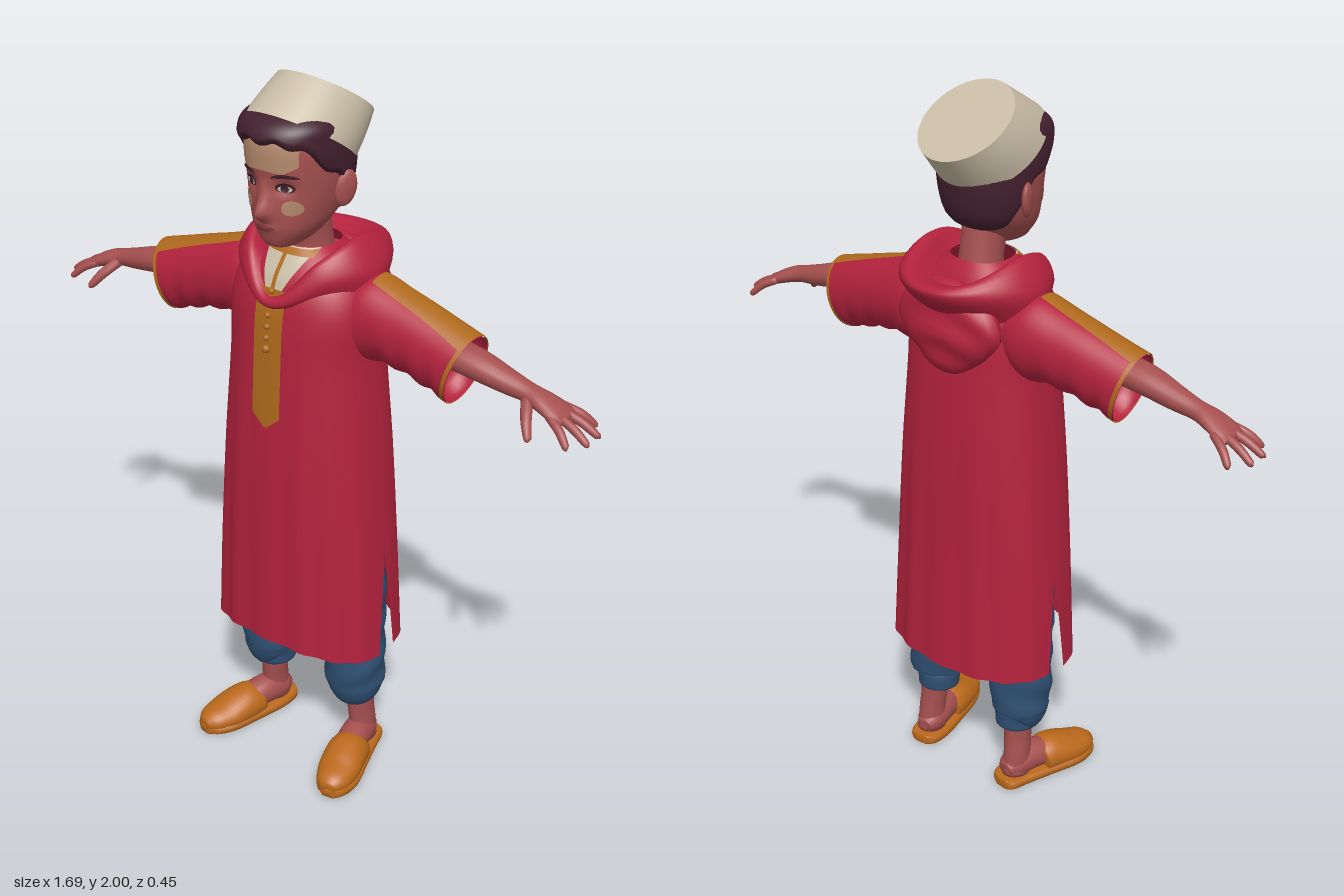
import * as THREE from 'three';
import { mergeVertices } from 'three/addons/utils/BufferGeometryUtils.js';

const { lerp, clamp } = THREE.MathUtils;
const PI = Math.PI;
const paint = (name, color) => new THREE.MeshStandardMaterial({ name, color, side: THREE.DoubleSide });
const M = {
  red: paint('red cloth', 0xb3223d), trim: paint('ochre trim', 0xae691c), shoe: paint('orange leather', 0xbb691b),
  blue: paint('blue cloth', 0x2f5073), skin: paint('skin', 0xa5504f), hair: paint('dark hair', 0x43202f),
  cream: paint('cream cloth', 0xc8bca5), tan: paint('light skin', 0xb48a6c), lip: paint('lip', 0x82363c),
};

// Smooth interpolation through rows keyed by their first number
function at(rows, p) {
  const n = rows.length;
  p = clamp(p, rows[0][0], rows[n - 1][0]);
  let i = 0;
  while (i < n - 2 && p > rows[i + 1][0]) i++;
  const a = rows[i], b = rows[i + 1], o = rows[Math.max(i - 1, 0)], c = rows[Math.min(i + 2, n - 1)];
  const h = b[0] - a[0], t = (p - a[0]) / h, t2 = t * t, t3 = t2 * t;
  return a.slice(1).map((v, j) => {
    const k = j + 1, m0 = (b[k] - o[k]) / (b[0] - o[0]) * h, m1 = (c[k] - a[k]) / (c[0] - a[0]) * h;
    return (2 * t3 - 3 * t2 + 1) * v + (t3 - 2 * t2 + t) * m0 + (3 * t2 - 2 * t3) * b[k] + (t3 - t2) * m1;
  });
}

function mesh(name, geo, mat, parent) {
  const m = new THREE.Mesh(geo, mat);
  m.name = name;
  parent.add(m);
  return m;
}

// Surface from a rule (u, v) -> [x, y, z]
function grid(name, fn, nu, nv, mat, parent) {
  const pos = [], idx = [], w = nu + 1;
  for (let j = 0; j <= nv; j++) for (let i = 0; i <= nu; i++) pos.push(...fn(i / nu, j / nv));
  for (let j = 0; j < nv; j++) for (let i = 0; i < nu; i++) {
    const a = j * w + i;
    idx.push(a, a + 1, a + w + 1, a, a + w + 1, a + w);
  }
  let g = new THREE.BufferGeometry();
  g.setAttribute('position', new THREE.Float32BufferAttribute(pos, 3));
  g.setIndex(idx);
  g = mergeVertices(g, 1e-5);
  g.computeVertexNormals();
  return mesh(name, g, mat, parent);
}

// Tube rule from rows [x, y, z, radiusU, radiusV]
function tube(rows, hint = [0, 0, 1]) {
  const keyed = rows.map((r, i) => [i, ...r]), last = rows.length - 1;
  return (a, t, off = 0, shrink = 1) => {
    const s = at(keyed, t * last), p = at(keyed, t * last - 0.02), q = at(keyed, t * last + 0.02);
    const T = new THREE.Vector3(q[0] - p[0], q[1] - p[1], q[2] - p[2]).normalize();
    const V = new THREE.Vector3(...hint);
    V.addScaledVector(T, -V.dot(T)).normalize();
    const U = V.clone().cross(T);
    return new THREE.Vector3(s[0], s[1], s[2]).addScaledVector(U, Math.cos(a) * (s[3] + off) * shrink)
      .addScaledVector(V, Math.sin(a) * (s[4] + off) * shrink).toArray();
  };
}
// Closed limb with optional vertex rule
function limb(name, rows, mat, parent, { hint, mod = p => p, nu = 20, nv = 24 } = {}) {
  const f = tube(rows, hint);
  return grid(name, (u, v) => {
    const t = clamp((v * nv - 1) / (nv - 2), 0, 1);
    return mod(f((u % 1) * 2 * PI, t, 0, v === 0 || v === 1 ? 0.001 : 1), t);
  }, nu, nv, mat, parent);
}
// Thin painted plate lying on a front surface
function plate(name, surf, cx, y0, y1, width, off, mat, parent, bend = 0) {
  return grid(name, (u, v) => {
    const d = (2 * u - 1) * width(v);
    return surf(cx + d, lerp(y0, y1, v) - bend * d * d, off);
  }, 12, 12, mat, parent);
}
const round = r => v => r * Math.sqrt(Math.max(0, 1 - (2 * v - 1) ** 2));
const pw = (x, e) => Math.sign(x) * Math.abs(x) ** e;

// Robe: rows [y, half width, front z, back z]
const ROBE = [[0.4, 0.27, 0.207, -0.19], [0.7, 0.254, 0.2, -0.175], [1, 0.234, 0.19, -0.163], [1.28, 0.21, 0.175, -0.145],
  [1.42, 0.208, 0.162, -0.13], [1.5, 0.175, 0.135, -0.115], [1.54, 0.125, 0.105, -0.095], [1.57, 0.08, 0.08, -0.07]];
function robe(a, y) {
  const [rx, zf, zb] = at(ROBE, y), s = Math.sin(a);
  const k = 1 + 0.018 * clamp((1.35 - y) / 0.7, 0, 1) * Math.cos(16 * a) * Math.abs(s);
  return [rx * k * pw(Math.cos(a), 0.85), y, Math.abs(s) ** 0.85 * k * (s > 0 ? zf : zb)];
}
function robeFront(x, y, off) {
  const p = robe(Math.acos(clamp(pw(x / at(ROBE, y)[0], 1 / 0.85), -1, 1)), y);
  return [x, y, p[2] + off];
}

// Head: rows [y, half width, front z, back z]
const HEAD = [[1.58, 0, 0.11, 0.11], [1.587, 0.035, 0.15, 0.06], [1.605, 0.058, 0.167, 0.0], [1.64, 0.086, 0.176, -0.035],
  [1.68, 0.103, 0.178, -0.075], [1.74, 0.116, 0.178, -0.092], [1.8, 0.12, 0.184, -0.097], [1.86, 0.118, 0.18, -0.09],
  [1.91, 0.1, 0.15, -0.05], [1.95, 0, 0.05, 0.05]];
const NOSE = [[1.655, 0], [1.67, 0.02], [1.685, 0.037], [1.72, 0.02], [1.77, 0]];
const bell = (d, w) => Math.exp(-((d / w) ** 2));
function head(a, y, off = 0) {
  const [rx, zf, zb] = at(HEAD, y), c = Math.cos(a), s = Math.sin(a), x = rx * pw(c, 0.92);
  let z = (zf + zb) / 2 + pw(s, 0.92) * (zf - zb) / 2;
  if (s > 0) z += at(NOSE, y)[0] * bell(x, 0.018) - 0.012 * bell(Math.abs(x) - 0.05, 0.022) * bell(y - 1.752, 0.02)
    + 0.006 * bell(x, 0.03) * bell(y - 1.645, 0.012);
  return [x + off * c, y, z + off * s];
}
function face(x, y, off) {
  const p = head(Math.acos(clamp(pw(x / at(HEAD, y)[0], 1 / 0.92), -1, 1)), y);
  return [x, y, p[2] + off];
}
const HAIRLINE = [[-1, 1.635], [-0.5, 1.655], [-0.2, 1.71], [0, 1.765], [0.3, 1.785], [0.6, 1.835], [1, 1.858]];

// Hood sections from neck to underside: rows [backness, half width, y, z]
const HOOD = [
  [[0, 0.085, 1.46, 0.15], [0.15, 0.105, 1.53, 0.09], [0.5, 0.11, 1.55, -0.01], [1, 0.1, 1.51, -0.09]],
  [[0, 0.14, 1.452, 0.172], [0.15, 0.155, 1.555, 0.11], [0.5, 0.145, 1.6, -0.02], [1, 0.15, 1.545, -0.205]],
  [[0, 0.16, 1.435, 0.176], [0.15, 0.195, 1.51, 0.115], [0.5, 0.2, 1.53, -0.03], [1, 0.18, 1.52, -0.224]],
  [[0, 0.14, 1.42, 0.155], [0.15, 0.185, 1.46, 0.1], [0.5, 0.2, 1.46, -0.03], [1, 0.15, 1.42, -0.13]]];

function buildHead(g) {
  const turn = u => -PI / 2 - (u % 1) * 2 * PI;
  grid('head', (u, v) => head(turn(u), lerp(1.58, 1.95, v)), 88, 60, M.skin, g);
  limb('neck', [[0, 1.5, -0.01, 0.062, 0.062], [0, 1.58, 0, 0.056, 0.058], [0, 1.68, 0.02, 0.06, 0.06]], M.skin, g);
  grid('hair', (u, v) => {
    const a = turn(u), s = Math.sin(a);
    const low = at(HAIRLINE, s)[0] + (s > 0.3 ? 0.009 * Math.sin(11 * a) * (s - 0.3) : 0);
    return head(a, lerp(low, 1.925, v), v === 0 ? -0.006 : 0.01 + 0.018 * Math.max(0, s) * Math.min(1, v * 4));
  }, 72, 14, M.hair, g);

  // Tilted round cap
  const cap = (u, t, k = 1) => {
    const a = turn(u), r = k * Math.sin(a) * lerp(0.156, 0.134, t), b = 0.004 * Math.sin(t * PI);
    return [(lerp(0.138, 0.122, t) + b) * k * Math.cos(a), lerp(1.84, 1.925, t) + 0.555 * r, lerp(0.04, -0.06, t) + 0.83 * r];
  };
  grid('capSide', (u, v) => cap(u, v), 48, 6, M.cream, g);
  grid('capTop', (u, v) => cap(u, 1, 1 - v), 48, 4, M.cream, g);

  // Face details
  plate('foreheadPatch', face, 0, 1.793, 1.865, v => 0.085 * Math.min(1, 0.6 + v), 0.003, M.tan, g, 2);
  plate('mouth', face, 0, 1.638, 1.654, round(0.028), 0.003, M.lip, g);
  for (const s of [1, -1]) {
    plate('cheekPatch', face, s * 0.066, 1.682, 1.722, round(0.021), 0.003, M.tan, g);
    plate('eyeOutline', face, s * 0.052, 1.739, 1.765, round(0.023), 0.003, M.hair, g);
    plate('eyeWhite', face, s * 0.052, 1.742, 1.758, round(0.017), 0.005, M.cream, g);
    plate('iris', face, s * 0.051, 1.741, 1.76, round(0.0095), 0.007, M.hair, g);
    plate('eyebrow', face, s * 0.055, 1.779, 1.79, round(0.031), 0.004, M.hair, g, 6);
    const ear = mesh('ear', new THREE.SphereGeometry(1, 16, 12), M.skin, g);
    ear.scale.set(0.013, 0.047, 0.03);
    ear.position.set(s * 0.126, 1.73, 0.022);
    ear.rotation.set(-0.2, -s * 0.4, -s * 0.12);
  }
}

function buildRobe(g) {
  const panel = (name, start, hem) => grid(name, (u, v) => {
    const a0 = start - u * PI, low = hem(Math.sin(a0)), y = lerp(low, 1.57, v);
    const gap = 0.12 * clamp((0.7 - y) / 0.3, 0, 1);
    return robe(start - gap - u * (PI - 2 * gap), y);
  }, 72, 44, M.red, g);
  panel('robeFront', PI, s => 0.402 + 0.037 * s * s);
  panel('robeBack', 2 * PI, () => 0.408);
  plate('undershirt', robeFront, 0, 1.44, 1.57, v => 0.01 + 0.062 * v, 0.004, M.cream, g);
  plate('neckBand', robeFront, 0, 1.553, 1.568, () => 0.074, 0.007, M.trim, g);
  plate('neckSeam', robeFront, 0, 1.45, 1.56, () => 0.006, 0.008, M.trim, g);
  plate('placket', robeFront, 0, 1.1, 1.475, v => 0.044 * Math.min(1, 0.1 + Math.sqrt(v / 0.09)), 0.006, M.trim, g);
  for (let i = 0; i < 6; i++) {
    const y = 1.32 + i * 0.03;
    const b = mesh('button', new THREE.SphereGeometry(i ? 0.008 : 0.011, 10, 8), M.trim, g);
    b.position.set(...robeFront(0, y, 0.009));
  }

  // Hood lying on the shoulders, with its hanging pouch
  grid('hoodCollar', (u, v) => {
    const a = (u % 1) * 2 * PI, k = (1 - Math.cos(a)) / 2;
    const [rx, y, z] = at(HOOD.map((rows, i) => [i, ...at(rows, k)]), v * 3);
    return [rx * Math.sin(a), y, z];
  }, 64, 15, M.red, g);
  const pouch = new THREE.SphereGeometry(1, 32, 20), p = pouch.attributes.position;
  for (let i = 0; i < p.count; i++) {
    const y = p.getY(i), x = p.getX(i);
    p.setXYZ(i, x * (y < 0 ? 1 + 0.4 * y : 1) * 0.165, y * 0.13, p.getZ(i) * (0.058 + 0.006 * Math.cos(9 * y + 5 * x * x)));
  }
  pouch.computeVertexNormals();
  mesh('hoodPouch', pouch, M.red, g).position.set(0, 1.41, -0.127);
}

function buildArm(g) {
  const sleeve = tube([[0.08, 1.445, -0.01, 0.065, 0.07], [0.18, 1.405, -0.013, 0.112, 0.093], [0.3, 1.385, -0.01, 0.1, 0.084],
    [0.4, 1.36, -0.005, 0.096, 0.079], [0.478, 1.338, 0, 0.096, 0.077]]);
  const fold = (a, t) => 0.003 * Math.sin(t * 30 + Math.cos(a) * 2) * Math.max(0, -Math.cos(a) + 0.4);
  grid('sleeve', (u, v) => { const a = (u % 1) * 2 * PI; return sleeve(a, v, fold(a, v)); }, 36, 30, M.red, g);
  grid('sleeveStripe', (u, v) => {
    const t = lerp(0.27, 1, v), w = lerp(0.3, 0.62, v);
    return sleeve(lerp(-w, w, u) + 0.12, t, 0.005);
  }, 10, 20, M.trim, g);
  grid('cuffTrim', (u, v) => sleeve((u % 1) * 2 * PI, lerp(0.965, 1, v), 0.004), 36, 2, M.trim, g);
  limb('forearmAndPalm', [[0.34, 1.39, 0.005, 0.038, 0.045], [0.5, 1.372, 0.008, 0.037, 0.046], [0.6, 1.35, 0.006, 0.03, 0.035],
    [0.66, 1.338, 0.005, 0.024, 0.028], [0.7, 1.328, 0.005, 0.022, 0.037], [0.745, 1.31, 0.003, 0.018, 0.046],
    [0.768, 1.298, 0.003, 0.01, 0.042]], M.skin, g);
  [[-0.034, -0.07, 0.805], [-0.011, -0.025, 0.838], [0.014, 0.026, 0.838], [0.036, 0.068, 0.808]].forEach(([z0, z1, x]) =>
    limb('finger', [[0.735, 1.312, z0, 0.011, 0.011], [lerp(0.735, x, 0.55), 1.293, lerp(z0, z1, 0.55), 0.011, 0.0115],
      [x - 0.006, 1.268, z1, 0.009, 0.009], [x, 1.264, z1, 0.004, 0.004]], M.skin, g, { nu: 10, nv: 12 }));
  limb('thumb', [[0.665, 1.33, 0.02, 0.015, 0.015], [0.69, 1.3, 0.062, 0.014, 0.014], [0.712, 1.268, 0.088, 0.01, 0.01],
    [0.716, 1.262, 0.091, 0.004, 0.004]], M.skin, g, { hint: [1, 0, 0.3], nu: 10, nv: 12 });
}

function buildLeg(g) {
  limb('trouserLeg', [[0.148, 0.19, -0.022, 0.059, 0.06], [0.148, 0.225, -0.02, 0.063, 0.065], [0.152, 0.24, -0.015, 0.078, 0.082],
    [0.152, 0.3, -0.01, 0.084, 0.09], [0.148, 0.42, -0.008, 0.086, 0.092], [0.135, 0.6, -0.005, 0.1, 0.095],
    [0.11, 0.9, 0, 0.09, 0.09]], M.blue, g, { nu: 28, nv: 40,
    mod: ([x, y, z]) => [x + 0.004 * Math.sin(y * 60 + z * 25) * (y > 0.25 ? 1 : 0), y, z] });
  limb('ankle', [[0.163, 0.03, -0.04, 0.038, 0.046], [0.163, 0.1, -0.035, 0.036, 0.043], [0.16, 0.15, -0.03, 0.037, 0.042],
    [0.158, 0.24, -0.025, 0.042, 0.045]], M.skin, g);
  const hint = [1, 0, 0];
  limb('foot', [[0.157, 0.05, -0.082, 0.02, 0.024], [0.16, 0.055, -0.05, 0.04, 0.04], [0.172, 0.06, 0.01, 0.045, 0.044],
    [0.195, 0.05, 0.09, 0.035, 0.045]], M.skin, g, { hint });
  limb('slipperSole', [[0.155, 0.014, -0.1, 0.028, 0.02], [0.157, 0.014, -0.085, 0.035, 0.042], [0.163, 0.014, -0.03, 0.035, 0.053],
    [0.185, 0.014, 0.05, 0.035, 0.058], [0.212, 0.014, 0.14, 0.035, 0.062], [0.226, 0.014, 0.195, 0.035, 0.045],
    [0.23, 0.014, 0.218, 0.028, 0.02]], M.shoe, g, { hint, nv: 30, mod: ([x, y, z]) => [x, clamp(y, 0, 0.027), z] });
  limb('slipperUpper', [[0.183, 0.04, 0.035, 0.05, 0.055], [0.19, 0.044, 0.07, 0.056, 0.059], [0.2, 0.042, 0.105, 0.05, 0.061],
    [0.212, 0.035, 0.145, 0.042, 0.059], [0.224, 0.032, 0.192, 0.032, 0.045], [0.23, 0.03, 0.218, 0.016, 0.022]],
  M.shoe, g, { hint, nu: 28, mod: ([x, y, z]) => [x, Math.max(y, 0.012), z] });
}

export function createModel() {
  const model = new THREE.Group();
  model.name = 'boyInRobe';
  for (const [name, build, paired] of [['headGroup', buildHead], ['robe', buildRobe], ['Arm', buildArm, true], ['Leg', buildLeg, true]]) {
    const g = new THREE.Group();
    g.name = paired ? 'left' + name : name;
    build(g);
    model.add(g);
    if (paired) {
      const other = g.clone();
      other.name = 'right' + name;
      other.scale.x = -1;
      model.add(other);
    }
  }
  return model;
}
